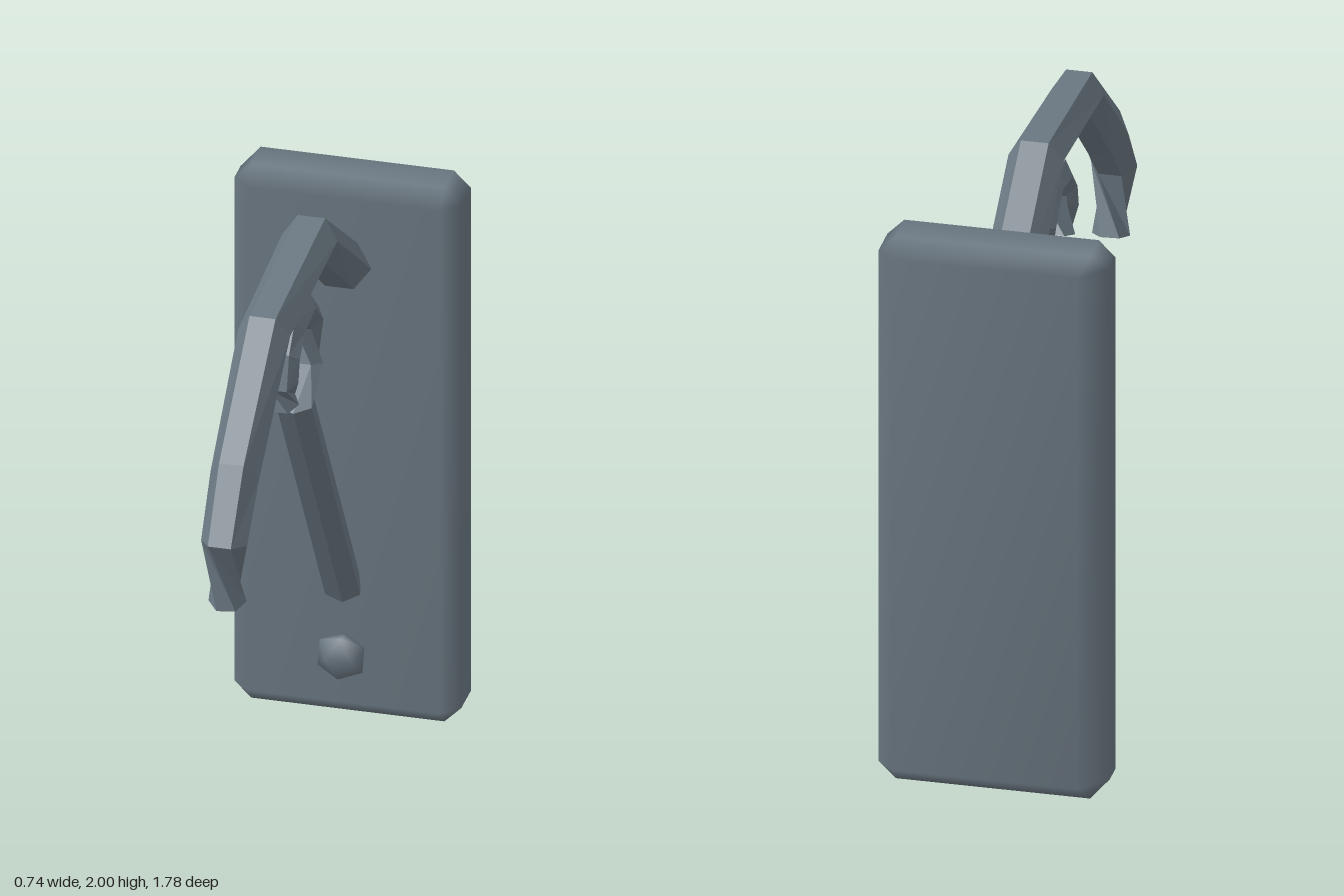
import * as THREE from 'three';
import { mergeVertices } from 'three/addons/utils/BufferGeometryUtils.js';
import { ConvexGeometry } from 'three/addons/geometries/ConvexGeometry.js';

// Weld by position and shade smoothly
function smooth(geometry) {
  geometry.deleteAttribute('normal');
  geometry.deleteAttribute('uv');
  const g = mergeVertices(geometry, 1e-4);
  g.computeVertexNormals();
  return g;
}

// Faceted six-sided bar lofted through rings of
// [outer z, outer y, inner z, inner y, half width, roll in degrees]
function hexBar(rings) {
  const pos = [], idx = [], N = 6;
  for (const [oz, oy, iz, iy, w, roll] of rings) {
    const angles = Array.from({ length: N }, (_, k) => (k * 60 + roll) * Math.PI / 180);
    const su = Math.max(...angles.map(a => Math.abs(Math.sin(a))));
    const sw = Math.max(...angles.map(a => Math.abs(Math.cos(a))));
    for (const a of angles) {
      const u = Math.sin(a) / su / 2;
      pos.push(w * Math.cos(a) / sw, (oy + iy) / 2 + (oy - iy) * u, (oz + iz) / 2 + (oz - iz) * u);
    }
  }
  const last = (rings.length - 1) * N;
  for (let i = 0; i < last; i += N) {
    for (let j = 0; j < N; j++) {
      const k = (j + 1) % N;
      idx.push(i + j, i + k, i + N + k, i + j, i + N + k, i + N + j);
    }
  }
  for (let j = 1; j < N - 1; j++) {
    idx.push(0, j + 1, j, last, last + j, last + j + 1);
  }
  const g = new THREE.BufferGeometry();
  g.setAttribute('position', new THREE.Float32BufferAttribute(pos, 3));
  g.setIndex(idx);
  const flat = g.toNonIndexed();
  flat.computeVertexNormals();
  return flat;
}

// Box with bevelled edges; one back edge is cut wider
function plateGeometry() {
  const X = 0.37, Y = 0.955, Z = 0.115, b = 0.055, pts = [];
  for (const sx of [-1, 1]) for (const sy of [-1, 1]) for (const sz of [-1, 1]) {
    const wide = sx < 0 && sz < 0;
    const bx = wide ? 0.085 : b, bz = wide ? 0.095 : b;
    pts.push(
      new THREE.Vector3(sx * (X - bx), sy * (Y - b), sz * Z),
      new THREE.Vector3(sx * X, sy * (Y - b), sz * (Z - bz)),
      new THREE.Vector3(sx * (X - b), sy * Y, sz * (Z - b)));
  }
  return smooth(new ConvexGeometry(pts));
}

export function createModel() {
  const group = new THREE.Group();
  const metal = new THREE.MeshStandardMaterial({ color: 0x6b7882 });
  metal.name = 'slateMetal';
  const add = (name, geometry) => {
    const mesh = new THREE.Mesh(geometry, metal);
    mesh.name = name;
    group.add(mesh);
    return mesh;
  };

  // Wall plate
  add('wallPlate', plateGeometry()).position.set(0, 0.955, -0.775);

  // Large upper hook with a twisted tip
  add('upperHook', hexBar([
    [-0.70, 1.675, -0.61, 1.565, 0.092, 0],
    [-0.26, 2.00, -0.22, 1.87, 0.09, 0],
    [0.35, 1.955, 0.31, 1.825, 0.085, 0],
    [0.74, 1.63, 0.645, 1.515, 0.08, 0],
    [0.89, 1.41, 0.77, 1.385, 0.075, 0],
    [0.84, 1.155, 0.735, 1.18, 0.06, -128],
  ]));

  // Diagonal strut running up into the small curl
  add('strutAndCurl', hexBar([
    [-0.70, 0.50, -0.61, 0.44, 0.06, 158],
    [-0.11, 1.46, 0.0, 1.43, 0.06, 158],
    [-0.24, 1.505, -0.15, 1.53, 0.055, 120],
    [-0.245, 1.69, -0.155, 1.655, 0.055, 0],
    [-0.125, 1.805, -0.085, 1.715, 0.055, 0],
    [0.05, 1.79, 0.0, 1.70, 0.055, 0],
    [0.125, 1.705, 0.065, 1.655, 0.055, 0],
    [0.155, 1.59, 0.07, 1.62, 0.055, 0],
    [0.13, 1.50, 0.04, 1.525, 0.05, -120],
  ]));

  // Screw head low on the plate
  const screwHead = add('screwHead', smooth(new THREE.IcosahedronGeometry(0.086, 0).rotateZ(Math.PI / 2 - 0.08)));
  screwHead.scale.z = 0.5;
  screwHead.position.set(0, 0.235, -0.63);

  return group;
}
